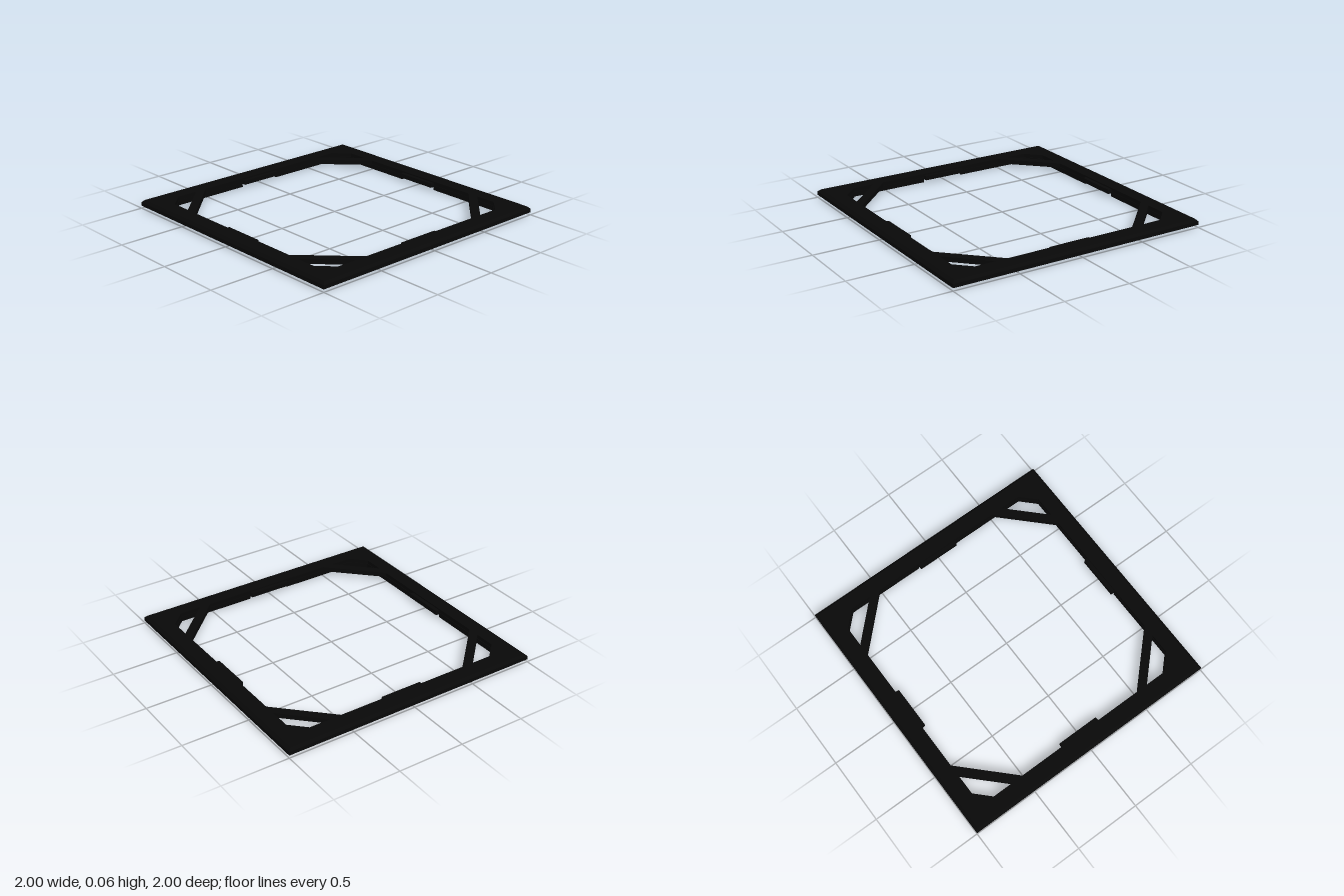
import * as THREE from 'three';

const black = new THREE.MeshStandardMaterial({ color: 0x080808 });

const toPoints = (list) => list.map(([x, y]) => new THREE.Vector2(x, y));

// Horizontal slab of the given outline between two heights
function slab(name, outline, y0, y1, hole) {
  const shape = new THREE.Shape(toPoints(outline));
  if (hole) shape.holes.push(new THREE.Path(toPoints(hole)));
  const geo = new THREE.ExtrudeGeometry(shape, { depth: y1 - y0, bevelEnabled: false });
  geo.rotateX(-Math.PI / 2).translate(0, y0, 0);
  const mesh = new THREE.Mesh(geo, black);
  mesh.name = name;
  return mesh;
}

export function createModel() {
  const model = new THREE.Group();
  model.name = 'squareFrame';

  const top = 0.065, under = 0.032;
  const inner = 0.87, cut = 0.76;

  // Flat plate with a square opening whose corners are cut off
  const s = 0.975;
  const opening = [
    [inner, -cut], [inner, cut], [cut, inner], [-cut, inner],
    [-inner, cut], [-inner, -cut], [-cut, -inner], [cut, -inner],
  ];
  model.add(slab('topPlate', [[-s, -s], [s, -s], [s, s], [-s, s]], under, top, opening));

  // Outer skirt with a chamfered upper edge, swept around the four sides
  const profile = [[0.97, under], [0.97, 0.02], [1, 0.02], [1, 0.047], [0.98, top], [0.97, top]]
    .map(([r, y]) => new THREE.Vector2(r * Math.SQRT2, y));
  const rimGeo = new THREE.LatheGeometry(profile, 4, Math.PI / 4).toNonIndexed();
  rimGeo.computeVertexNormals();
  const rim = new THREE.Mesh(rimGeo, black);
  rim.name = 'outerRim';
  model.add(rim);

  // Parts repeated at each corner and side
  const a = 0.865, b = 0.874, c = cut + 0.003, n = 0.165;
  for (let i = 0; i < 4; i++) {
    const quarter = new THREE.Group();
    quarter.name = 'quarter' + (i + 1);
    quarter.rotation.y = i * Math.PI / 2;

    // Thin lip hanging below the opening, stopping short of the tabs
    quarter.add(slab('cornerLip', [
      [b, n], [b, c], [c, b], [n, b],
      [n, a], [cut - 0.002, a], [a, cut - 0.002], [a, n],
    ], 0, under + 0.005));

    // Diagonal brace across the corner
    quarter.add(slab('cornerBrace', [
      [0.872, 0.51], [0.872, 0.6], [0.6, 0.872], [0.51, 0.872],
    ], 0.03, top));

    // Tab in the middle of the side
    quarter.add(slab('sideTab', [
      [-0.16, 0.84], [0.16, 0.84], [0.165, 0.88], [-0.165, 0.88],
    ], 0.022, 0.055));

    model.add(quarter);
  }
  return model;
}
